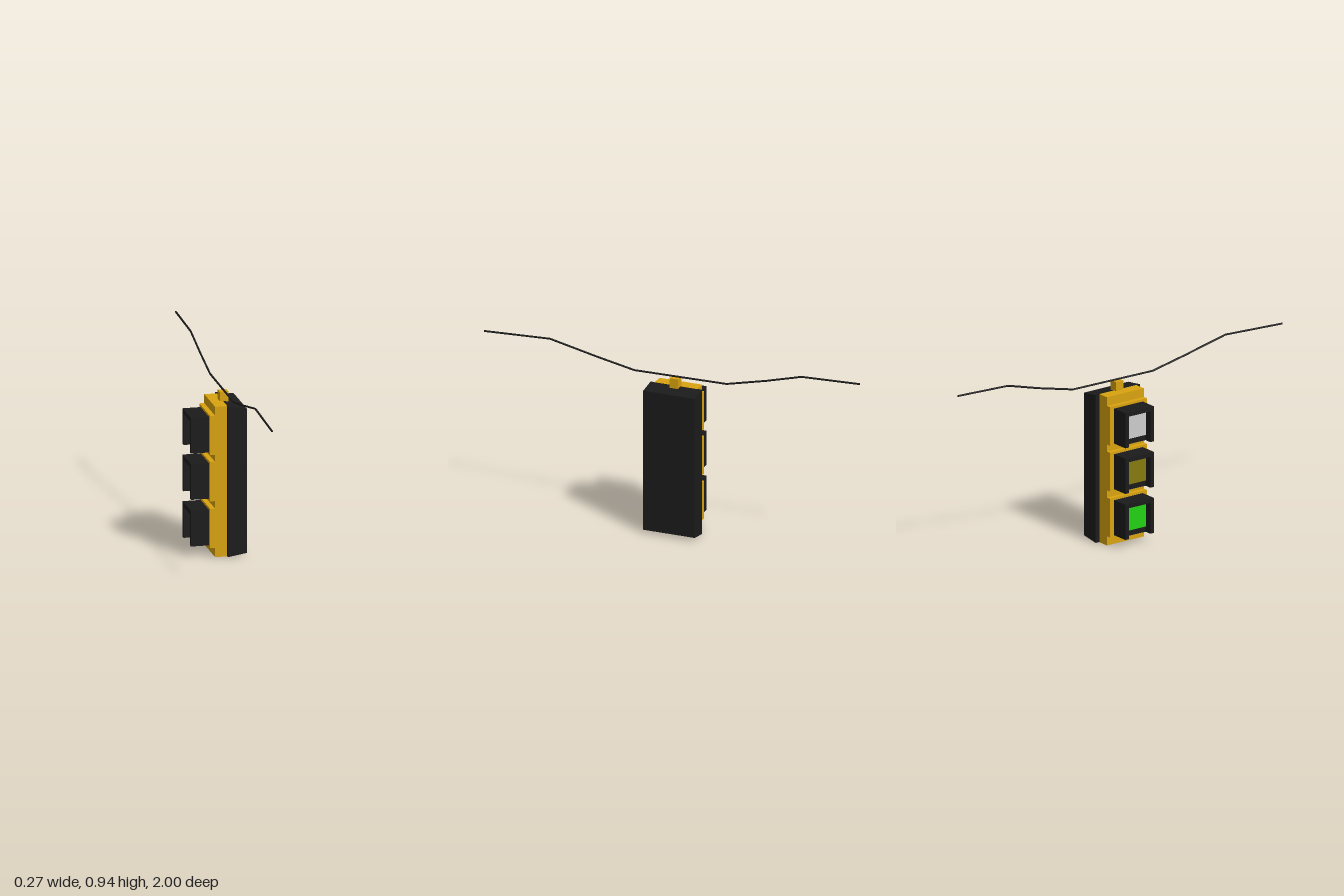
import * as THREE from 'three';

const material = (color) => new THREE.MeshStandardMaterial({ color, flatShading: true });

export function createModel() {
  const model = new THREE.Group();
  const yellow = material(0xd9a30f), black = material(0x1b1b1b);

  const add = (name, geometry, mat, parent = model) => {
    const mesh = new THREE.Mesh(geometry, mat);
    mesh.name = name;
    parent.add(mesh);
    return mesh;
  };
  // Box given by its limits on each axis
  const box = (name, [x0, x1], [y0, y1], [z0, z1], mat, parent) => {
    const mesh = add(name, new THREE.BoxGeometry(x1 - x0, y1 - y0, z1 - z0), mat, parent);
    mesh.position.set((x0 + x1) / 2, (y0 + y1) / 2, (z0 + z1) / 2);
    return mesh;
  };
  const polygon = (points) => new THREE.Shape(points.map(([x, y]) => new THREE.Vector2(x, y)));
  const extrude = (points, depth) =>
    new THREE.ExtrudeGeometry(polygon(points), { depth, bevelEnabled: false });

  // Housing and the backing box, which tapers in height
  box('housing', [-0.02, 0.042], [0, 0.77], [-0.132, 0.095], yellow);
  const backing = [[0.04, 0.002], [0.135, 0.017], [0.135, 0.757], [0.04, 0.77]];
  add('backing', extrude(backing, 0.274), black).position.z = -0.157;

  // Three lamps facing -x: frame, hood with open underside, lens
  const lamps = [['lower', 0.055, 0x22d014], ['middle', 0.294, 0x857a10], ['upper', 0.531, 0xcccccc]];
  const height = 0.182, zMin = -0.107, zMax = 0.07, wall = 0.022;
  for (const [name, y, color] of lamps) {
    const lamp = new THREE.Group();
    lamp.name = name + 'Lamp';
    lamp.position.y = y;
    model.add(lamp);
    box('frame', [-0.045, -0.018], [-0.007, height + 0.012], [-0.132, 0.095], yellow, lamp);
    const inner = [zMin + wall, zMax - wall];
    const hood = extrude([
      [zMin, 0], [inner[0], 0], [inner[0], height - wall], [inner[1], height - wall],
      [inner[1], 0], [zMax, 0], [zMax, height], [zMin, height],
    ], 0.092);
    hood.rotateY(-Math.PI / 2).translate(-0.044, 0, 0);
    add('hood', hood, black, lamp);
    box('lampBlock', [-0.096, -0.044], [0, height - wall], inner, black, lamp);
    box('lens', [-0.099, -0.094], [0.028, height - wall], inner, material(color), lamp);
  }

  // Clamp and sagging cable
  box('cableClamp', [0.026, 0.07], [0.755, 0.817], [-0.041, 0.005], yellow);
  const path = [[1, 0.9], [0.65, 0.915], [0.4, 0.86], [0.2, 0.82],
    [-0.29, 0.825], [-0.5, 0.875], [-0.69, 0.927], [-1, 0.938]]
    .map(([z, y]) => new THREE.Vector3(0.048, y, z));
  const up = new THREE.Vector3(0, 1, 0);
  for (let i = 0; i + 1 < path.length; i++) {
    const along = path[i + 1].clone().sub(path[i]);
    const segment = add('cable', new THREE.CylinderGeometry(0.005, 0.005, along.length(), 8), black);
    segment.position.copy(path[i]).addScaledVector(along, 0.5);
    segment.quaternion.setFromUnitVectors(up, along.normalize());
  }
  return model;
}
